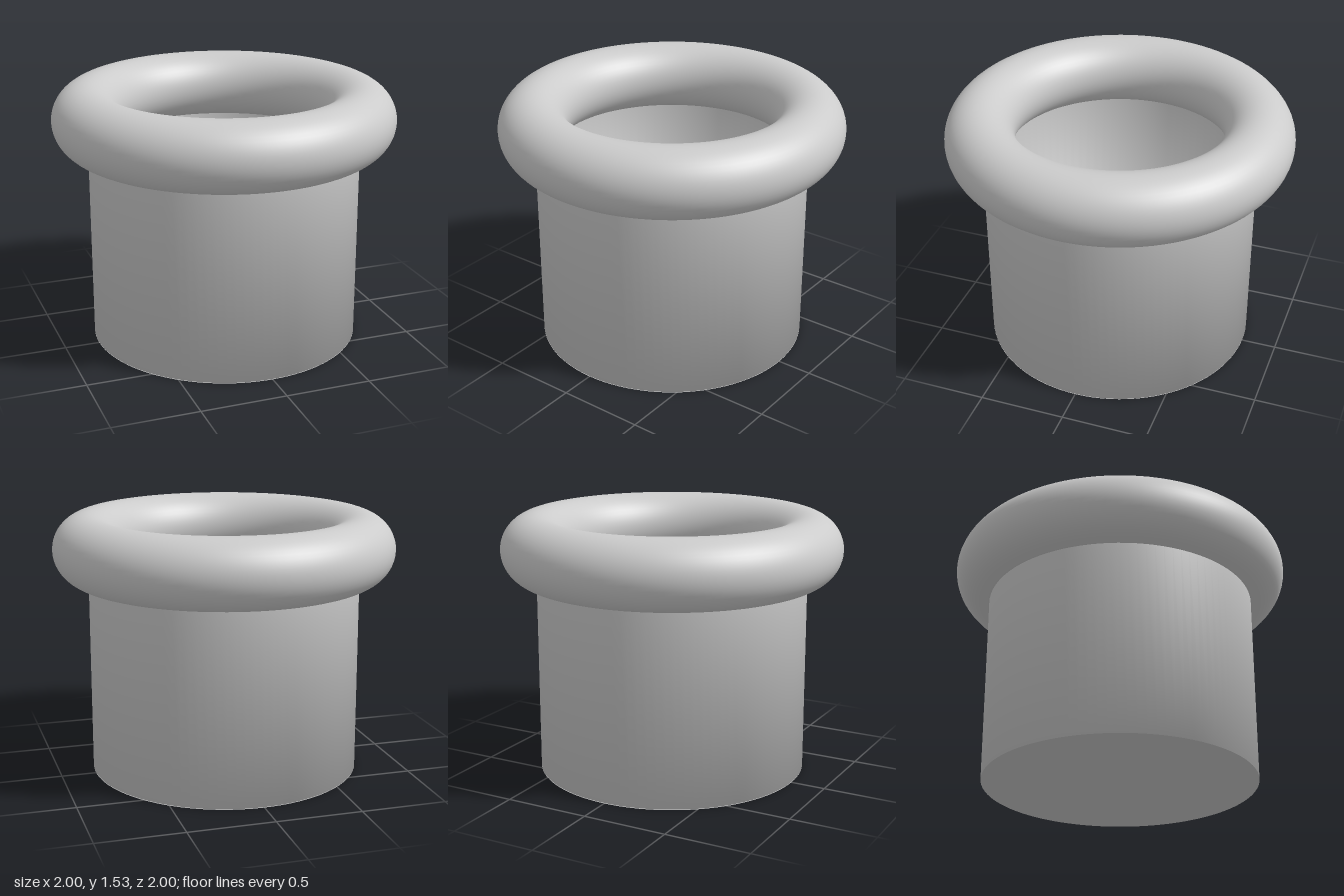
import * as THREE from 'three';

const RADIUS = 0.795;   // cup wall
const TUBE = 0.2;       // thickness of the rounded rim
const RIM_Y = 1.33;     // height of the rim's centre
const SEGMENTS = 96;

export function createModel() {
  const group = new THREE.Group();
  const material = new THREE.MeshStandardMaterial({ color: 0xcccccc, side: THREE.DoubleSide });

  const add = (name, geometry, y) => {
    const mesh = new THREE.Mesh(geometry, material);
    mesh.name = name;
    mesh.position.y = y;
    group.add(mesh);
  };

  // Thin open cup: floor and straight wall in one smooth profile, its top hidden in the rim
  const profile = [[0, 0], [RADIUS, 0], [RADIUS, 1.2]].map(([x, y]) => new THREE.Vector2(x, y));
  add('cup', new THREE.LatheGeometry(profile, SEGMENTS), 0.003);

  // Flat underside
  add('base', new THREE.CircleGeometry(RADIUS, SEGMENTS).rotateX(Math.PI / 2), 0);

  // Fat rounded rim
  add('rim', new THREE.TorusGeometry(1 - TUBE, TUBE, 48, SEGMENTS).rotateX(-Math.PI / 2), RIM_Y);

  return group;
}
